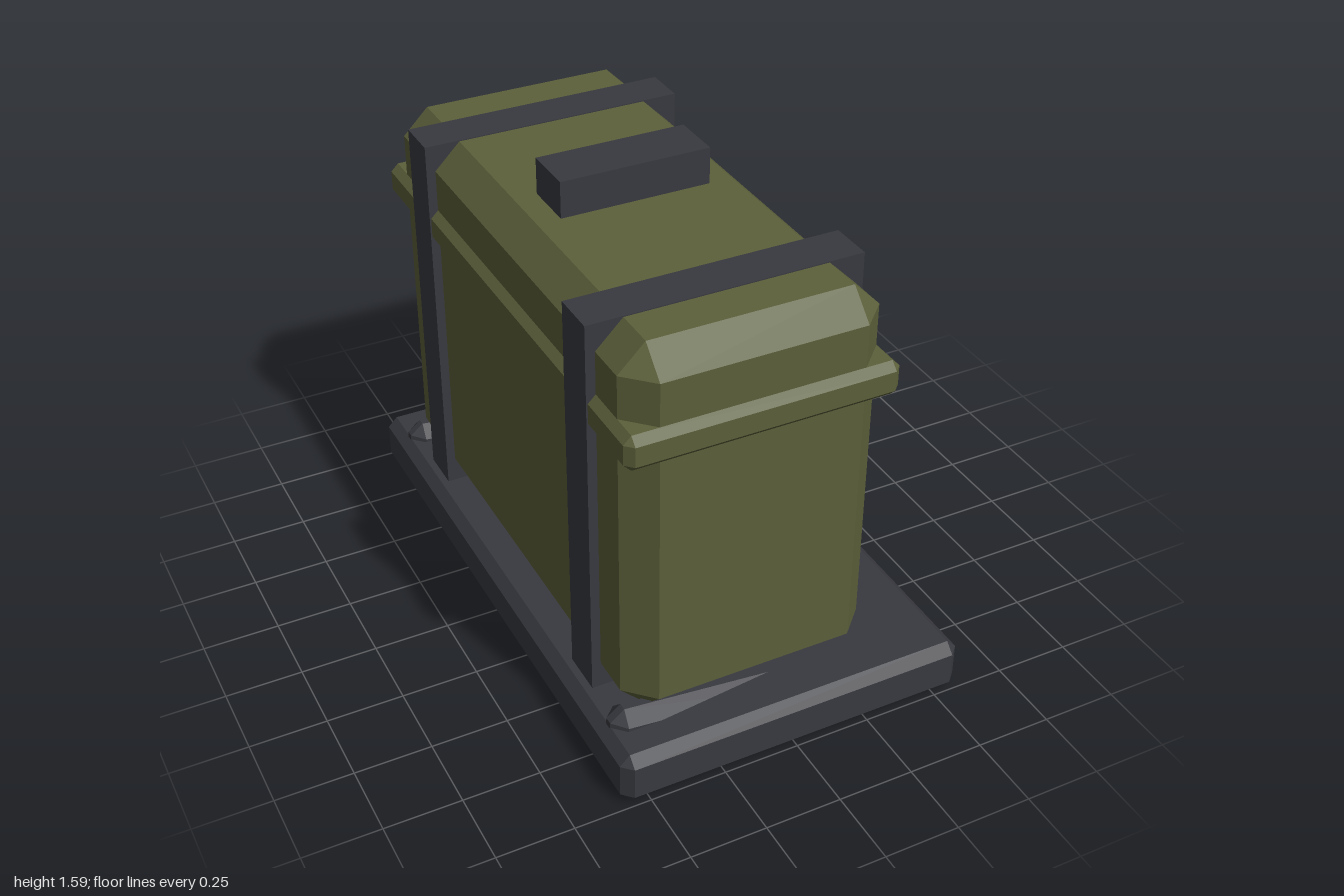
import * as THREE from 'three';
import { ConvexGeometry } from 'three/addons/geometries/ConvexGeometry.js';

const material = (color) => new THREE.MeshStandardMaterial({ color, flatShading: true });

// Box given by its size with every edge cut by a flat chamfer c
function chamferedBox(w, h, d, c) {
  const points = [];
  for (const sx of [-1, 1]) for (const sy of [-1, 1]) for (const sz of [-1, 1]) {
    for (let axis = 0; axis < 3; axis++) {
      const half = [w / 2, h / 2, d / 2].map((v, i) => (i === axis ? v : v - c));
      points.push(new THREE.Vector3(sx * half[0], sy * half[1], sz * half[2]));
    }
  }
  return new ConvexGeometry(points);
}

export function createModel() {
  const model = new THREE.Group();
  model.name = 'strappedCase';
  const olive = material(0x5c603a);
  const dark = material(0x38393f);
  const brass = material(0xba8e42);

  // Adds a box spanning the given x, y and z ranges, chamfered when c > 0
  function addBox(name, mat, [x0, x1], [y0, y1], [z0, z1], c = 0) {
    const size = [x1 - x0, y1 - y0, z1 - z0];
    const geometry = c ? chamferedBox(...size, c) : new THREE.BoxGeometry(...size);
    const mesh = new THREE.Mesh(geometry, mat);
    mesh.name = name;
    mesh.position.set((x0 + x1) / 2, (y0 + y1) / 2, (z0 + z1) / 2);
    model.add(mesh);
    return mesh;
  }

  // Base plate, case body, lid rim and carrying handle
  addBox('basePlate', dark, [-0.587, 0.587], [0, 0.177], [-1, 1], 0.033);
  addBox('caseBody', olive, [-0.5, 0.32], [0.18, 1.47], [-0.88, 0.88], 0.086);
  addBox('lidRim', olive, [-0.525, 0.345], [1.13, 1.245], [-0.905, 0.905], 0.025);
  addBox('handle', dark, [-0.337, 0.157], [1.45, 1.59], [-0.087, 0.087]);

  for (const [side, s] of [['front', 1], ['back', -1]]) {
    const span = (a, b) => (s > 0 ? [a, b] : [-b, -a]);
    // Strap around the case and the latch on it
    addBox(side + 'Strap', dark, [-0.53, 0.35], [0.16, 1.473], span(0.515, 0.66));
    addBox(side + 'Latch', brass, [0.32, 0.378], [0.937, 1.288], span(0.363, 0.627), 0.016);
    // Tilted foot wedged between the case and the plate
    const foot = addBox(side + 'Foot', dark, [-0.56, 0.04], [0.063, 0.203], span(0.77, 0.88), 0.042);
    foot.rotation.z = -0.108;
  }
  return model;
}
